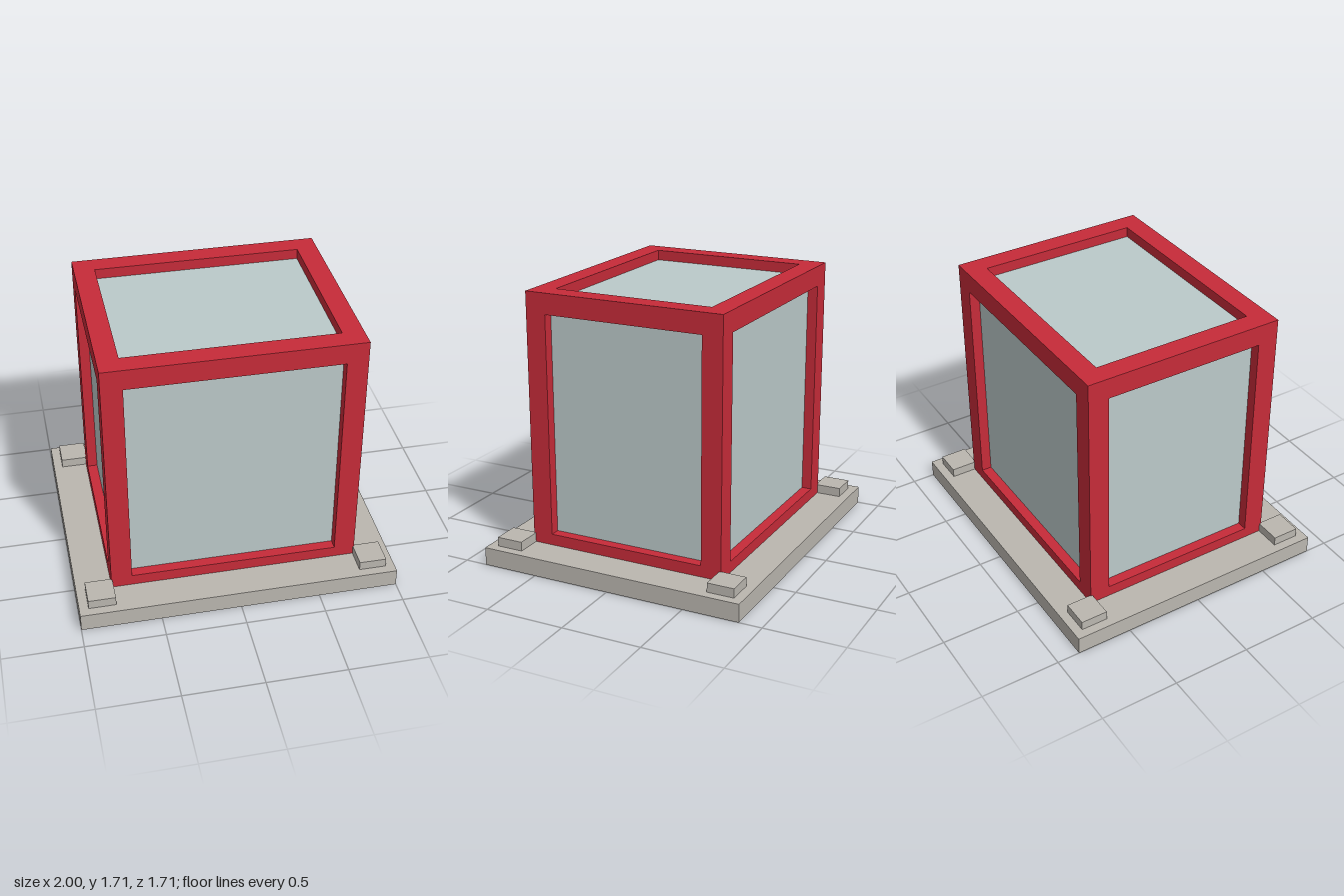
import * as THREE from 'three';

const RED = new THREE.MeshStandardMaterial({ name: 'frame red', color: 0xc62b39 });
const GLASS = new THREE.MeshStandardMaterial({ name: 'pale glass', color: 0xbbc9c9 });
const STONE = new THREE.MeshStandardMaterial({ name: 'warm grey stone', color: 0xbab6af });

// Box given by its size, centre x/z and bottom y
function box(parent, name, material, [w, h, d], [x, y, z]) {
  const mesh = new THREE.Mesh(new THREE.BoxGeometry(w, h, d), material);
  mesh.name = name;
  mesh.position.set(x, y + h / 2, z);
  parent.add(mesh);
}

export function createModel() {
  const model = new THREE.Group();
  model.name = 'glazedBooth';

  const beam = 0.13, halfW = 0.778, halfD = 0.64;
  const bottom = 0.055, top = 1.707, baseTop = 0.114;

  // Base slab
  box(model, 'baseSlab', STONE, [2, baseTop, 1.714], [0, 0, 0]);

  // Corner pads and frame posts
  const frame = new THREE.Group();
  frame.name = 'frame';
  model.add(frame);
  const px = halfW - beam / 2, pz = halfD - beam / 2;
  for (const sx of [-1, 1]) {
    for (const sz of [-1, 1]) {
      box(model, 'cornerPad', STONE, [0.171, 0.058, 0.171], [sx * 0.857, baseTop, sz * 0.714]);
      box(frame, 'cornerPost', RED, [beam, top - bottom, beam], [sx * px, bottom, sz * pz]);
    }
  }

  // Rails between the posts, top and bottom
  for (const y of [bottom, top - beam]) {
    for (const s of [-1, 1]) {
      box(frame, 'longRail', RED, [2 * (halfW - beam), beam, beam], [0, y, s * pz]);
      box(frame, 'sideRail', RED, [beam, beam, 2 * (halfD - beam)], [s * px, y, 0]);
    }
  }

  // Glazing, recessed to the middle of the beams
  const inset = 0.065;
  box(model, 'glazing', GLASS,
    [2 * (halfW - inset), top - inset - baseTop, 2 * (halfD - inset)], [0, baseTop, 0]);

  return model;
}
